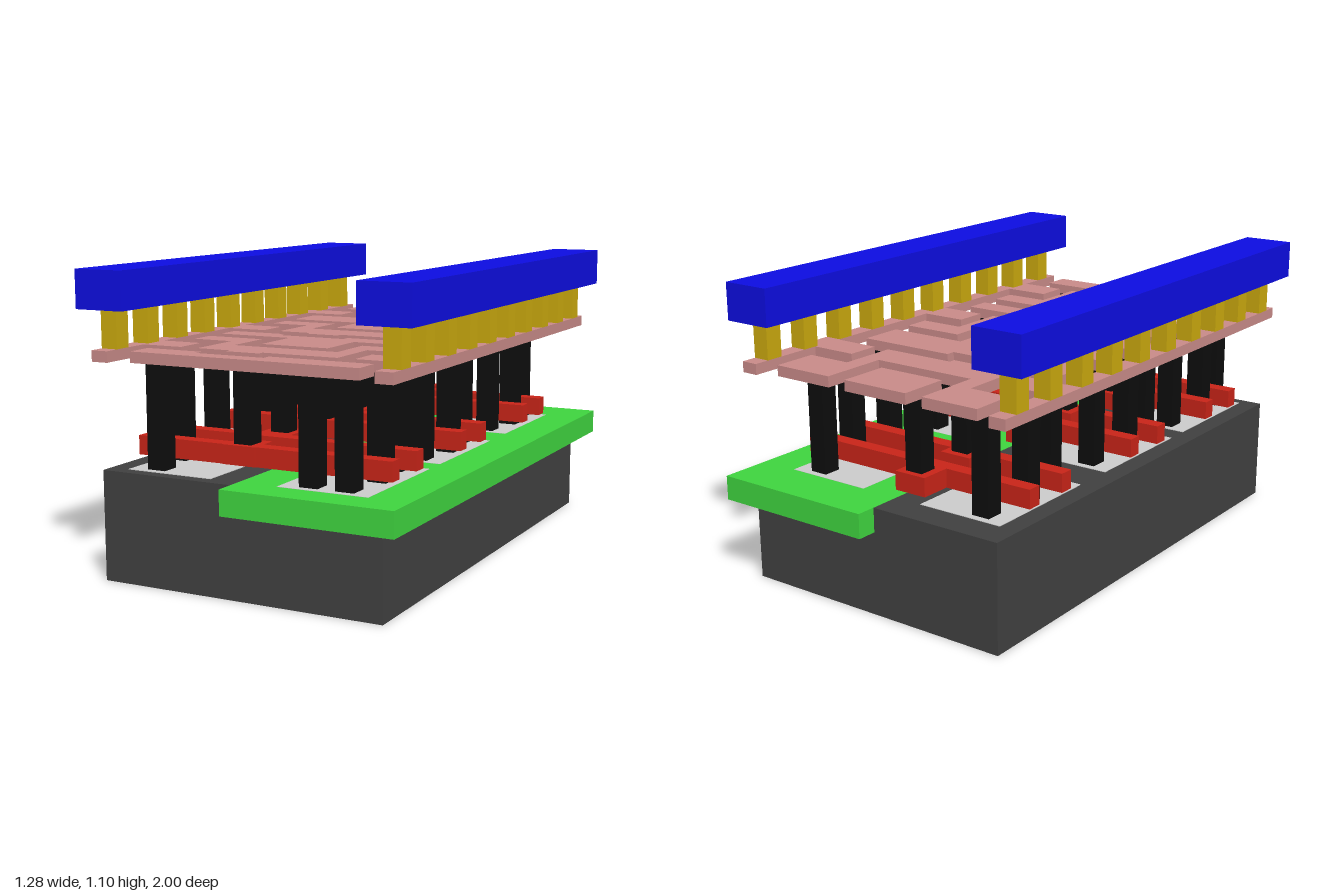
import * as THREE from 'three';

const mat = (color) => new THREE.MeshStandardMaterial({ color });

export function createModel() {
  const root = new THREE.Group();
  const silicon = mat(0x404040), well = mat(0x3fd43f), diffusion = mat(0xcccccc);
  const poly = mat(0xc82418), contact = mat(0x0d0d0d), metal = mat(0xc88a88);
  const via = mat(0xc9a80e), power = mat(0x0d0de0);

  // Box given by its extents on each axis
  function slab(parent, name, material, x0, x1, y0, y1, z0, z1) {
    const mesh = new THREE.Mesh(new THREE.BoxGeometry(x1 - x0, y1 - y0, z1 - z0), material);
    mesh.position.set((x0 + x1) / 2, (y0 + y1) / 2, (z0 + z1) / 2);
    mesh.name = name;
    parent.add(mesh);
  }

  // Substrate with the well let into its right half
  slab(root, 'substrate', silicon, -0.545, 0.545, 0, 0.4, -0.925, 0.925);
  slab(root, 'well', well, -0.02, 0.62, 0.31, 0.401, -1, 1);

  // Supply rails: lower metal strip, row of vias, upper power bar
  for (const s of [-1, 1]) {
    const rail = new THREE.Group();
    rail.name = s < 0 ? 'rightSupplyRail' : 'leftSupplyRail';
    root.add(rail);
    const side = (name, m, a, b, ...rest) =>
      slab(rail, name, m, s < 0 ? -b : a, s < 0 ? -a : b, ...rest);
    side('railStrip', metal, 0.515, 0.58, 0.78, 0.82, -0.925, 0.925);
    side('powerBar', power, 0.45, 0.642, 0.96, 1.1, -0.925, 0.925);
    for (let i = 0; i < 10; i++) {
      const z = 0.833 - i * 0.185;
      side('via', via, 0.515, 0.58, 0.82, 0.96, z - 0.034, z + 0.034);
    }
  }

  // Three buffer cells: anchor c, output row end, side block start, input stem start
  const cells = [
    { c: 0.82, rowEnd: 0.89, blockStart: 0.39, stemStart: 0.31 },
    { c: 0.25, rowEnd: 0.31, blockStart: -0.18, stemStart: -0.255 },
    { c: -0.39, rowEnd: -0.255, blockStart: -0.89, stemStart: -0.89 },
  ];
  for (const { c, rowEnd, blockStart, stemStart } of cells) {
    const cell = new THREE.Group();
    cell.name = 'bufferCell';
    root.add(cell);
    const wire = (name, x0, x1, z0, z1) => slab(cell, name, metal, x0, x1, 0.78, 0.82, z0, z1);
    const gate = (name, x0, x1, z0, z1) => slab(cell, name, poly, x0, x1, 0.43, 0.5, z0, z1);
    const pillar = (x, z, y0 = 0.4) =>
      slab(cell, 'contactPillar', contact, x - 0.035, x + 0.035, y0, 0.78, z - 0.034, z + 0.034);

    // Diffusion areas, flush with the surface
    slab(cell, 'diffusionRight', diffusion, -0.47, -0.13, 0.35, 0.402, c - 0.42, c + 0.06);
    slab(cell, 'diffusionLeft', diffusion, 0.13, 0.47, 0.35, 0.402, c - 0.42, c + 0.06);

    // Gate bars with a contact pad each
    gate('outputGate', -0.505, 0.5, c - 0.11, c - 0.055);
    gate('outputGatePad', -0.15, -0.02, c - 0.17, c - 0.05);
    gate('inputGate', -0.505, 0.5, c - 0.3, c - 0.245);
    gate('inputGatePad', -0.15, -0.02, c - 0.418, c - 0.3);

    // Contacts
    for (const s of [-1, 1]) {
      pillar(s * 0.37, c);
      pillar(s * 0.4, c - 0.175);
      pillar(s * 0.37, c - 0.36);
    }
    pillar(0.235, c);
    pillar(-0.083, c - 0.108, 0.5);
    pillar(-0.083, c - 0.36, 0.5);

    // Output row, notched at the back
    wire('outputRow', -0.443, 0.443, c, rowEnd);
    wire('outputRowRight', -0.443, -0.22, c - 0.035, c);
    wire('outputRowLeft', 0.05, 0.443, c - 0.035, c);

    // Link between the two stages, with legs to the side blocks
    wire('link', -0.285, 0.27, c - 0.24, c - 0.11);
    wire('linkTongue', -0.15, -0.02, c - 0.11, c - 0.085);
    wire('legRight', -0.285, -0.215, c - 0.33, c - 0.24);
    wire('legLeft', 0.2, 0.27, c - 0.33, c - 0.24);
    wire('blockRight', -0.443, -0.215, blockStart, c - 0.33);
    wire('blockLeft', 0.2, 0.443, blockStart, c - 0.33);

    // Input stem and tabs out to the rails
    wire('inputStem', -0.145, 0.125, stemStart, c - 0.31);
    wire('tabRight', -0.515, -0.355, c - 0.235, c - 0.11);
    wire('tabLeft', 0.335, 0.515, c - 0.235, c - 0.11);
  }
  return root;
}
